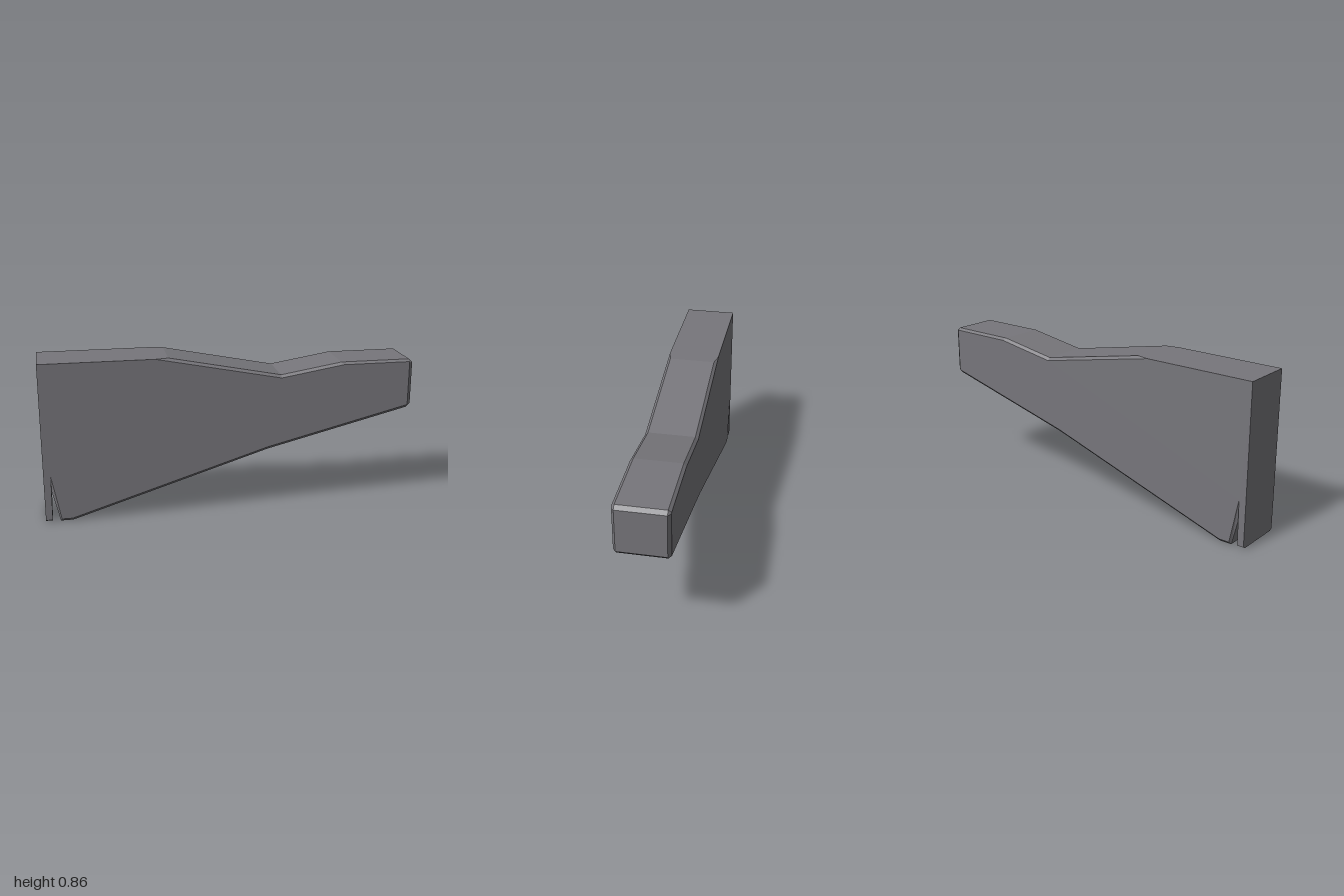
import * as THREE from 'three';

// Side profile, anticlockwise: [edge x, edge y, bevelled face x, bevelled face y]
const profile = [
  [-1, 0.004, -1, 0.013],
  [-0.964, 0.004, -0.964, 0.013],
  [-0.962, 0.17, -0.962, 0.255], // top of the slot
  [-0.922, 0, -0.916, 0.015],
  [-0.857, 0, -0.86, 0.015],
  [0.2, 0.332, 0.2, 0.348],
  [0.98, 0.526, 0.977, 0.542],
  [1, 0.547, 0.98, 0.547], // blunt narrow end
  [1, 0.78, 0.98, 0.78],
  [0.98, 0.797, 0.977, 0.785],
  [0.6, 0.797, 0.61, 0.785],
  [0.27, 0.743, 0.27, 0.729],
  [-0.33, 0.862, -0.4, 0.862], // bevel fades out here
  [-1, 0.862, -1, 0.862],
];
const HALF = 0.137; // half thickness
const EDGE = 0.122; // where the bevel begins

function bevelledSlab() {
  const outer = profile.map(([x, y]) => [x, y]);
  const inner = profile.map(([, , x, y]) => [x, y]);
  const rings = [[inner, -HALF], [outer, -EDGE], [outer, EDGE], [inner, HALF]]
    .map(([pts, z]) => pts.map(([x, y]) => [x, y, z]));
  const positions = [];
  const tri = (...corners) => corners.forEach((p) => positions.push(...p));

  // Rim and bevels, back to front
  for (let k = 0; k < 3; k++) {
    for (let i = 0; i < profile.length; i++) {
      const j = (i + 1) % profile.length;
      const [a, b, c, d] = [rings[k][i], rings[k][j], rings[k + 1][j], rings[k + 1][i]];
      tri(a, b, c);
      tri(a, c, d);
    }
  }
  // Flat front and back faces
  const flat = inner.map(([x, y]) => new THREE.Vector2(x, y));
  for (const [a, b, c] of THREE.ShapeUtils.triangulateShape(flat, [])) {
    tri(rings[3][a], rings[3][b], rings[3][c]);
    tri(rings[0][a], rings[0][c], rings[0][b]);
  }

  const geometry = new THREE.BufferGeometry();
  geometry.setAttribute('position', new THREE.Float32BufferAttribute(positions, 3));
  geometry.computeVertexNormals();
  return geometry;
}

export function createModel() {
  const group = new THREE.Group();
  group.name = 'stock';
  const grey = new THREE.MeshStandardMaterial({ color: 0x77767b });
  grey.name = 'grey';

  const body = new THREE.Mesh(bevelledSlab(), grey);
  body.name = 'stockBody';
  group.add(body);
  return group;
}
